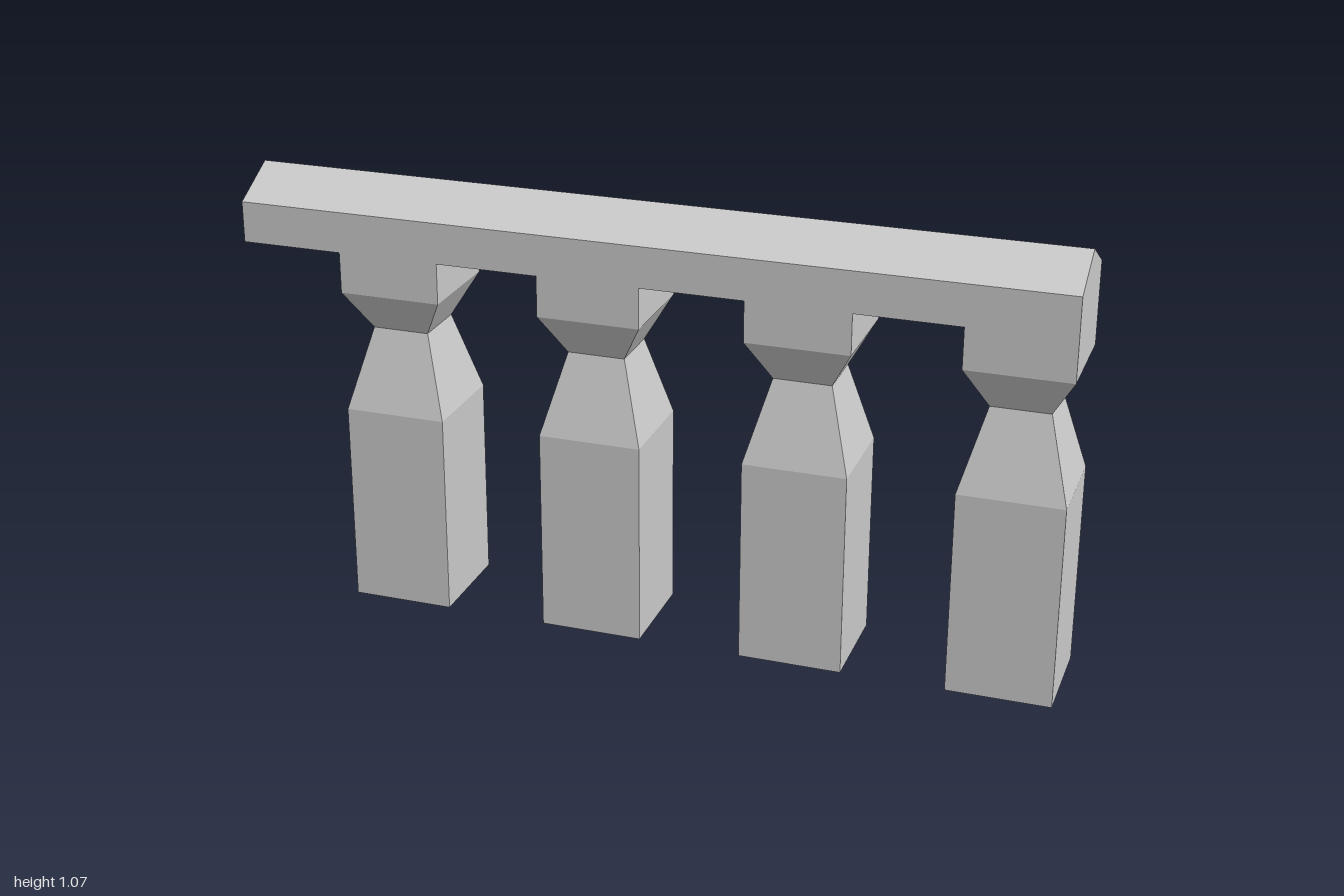
import * as THREE from 'three';

const HALF = 0.125; // half thickness of the railing
const NECK = 0.07; // half width at the narrow neck
const BEAM_Y = 0.9; // underside of the handrail

export function createModel() {
  const group = new THREE.Group();
  const material = new THREE.MeshStandardMaterial({ color: 0xcccccc, flatShading: true });

  // Handrail: gabled cross-section swept along x
  const section = new THREE.Shape([
    [-HALF, BEAM_Y], [HALF, BEAM_Y], [HALF, 1], [0, 1.067], [-HALF, 1],
  ].map(([x, y]) => new THREE.Vector2(x, y)));
  const railGeometry = new THREE.ExtrudeGeometry(section, { depth: 2, bevelEnabled: false });
  railGeometry.translate(0, 0, -1).rotateY(Math.PI / 2);
  const rail = new THREE.Mesh(railGeometry, material);
  rail.name = 'handrail';
  group.add(rail);

  // Square baluster: four-sided lathe of [half width, height], closed at the foot
  const profile = [
    [0, 0], [HALF, 0], [HALF, 0.5], [NECK, 0.7], [HALF, 0.8], [HALF, BEAM_Y],
  ].map(([half, y]) => new THREE.Vector2(half * Math.SQRT2, y));
  const balusterGeometry = new THREE.LatheGeometry(profile, 4, Math.PI / 4);

  // Four balusters, the last flush with the left end of the rail
  for (let i = 0; i < 4; i++) {
    const baluster = new THREE.Mesh(balusterGeometry, material);
    baluster.name = `baluster${i + 1}`;
    baluster.position.x = -0.625 + i * 0.5;
    group.add(baluster);
  }

  return group;
}
